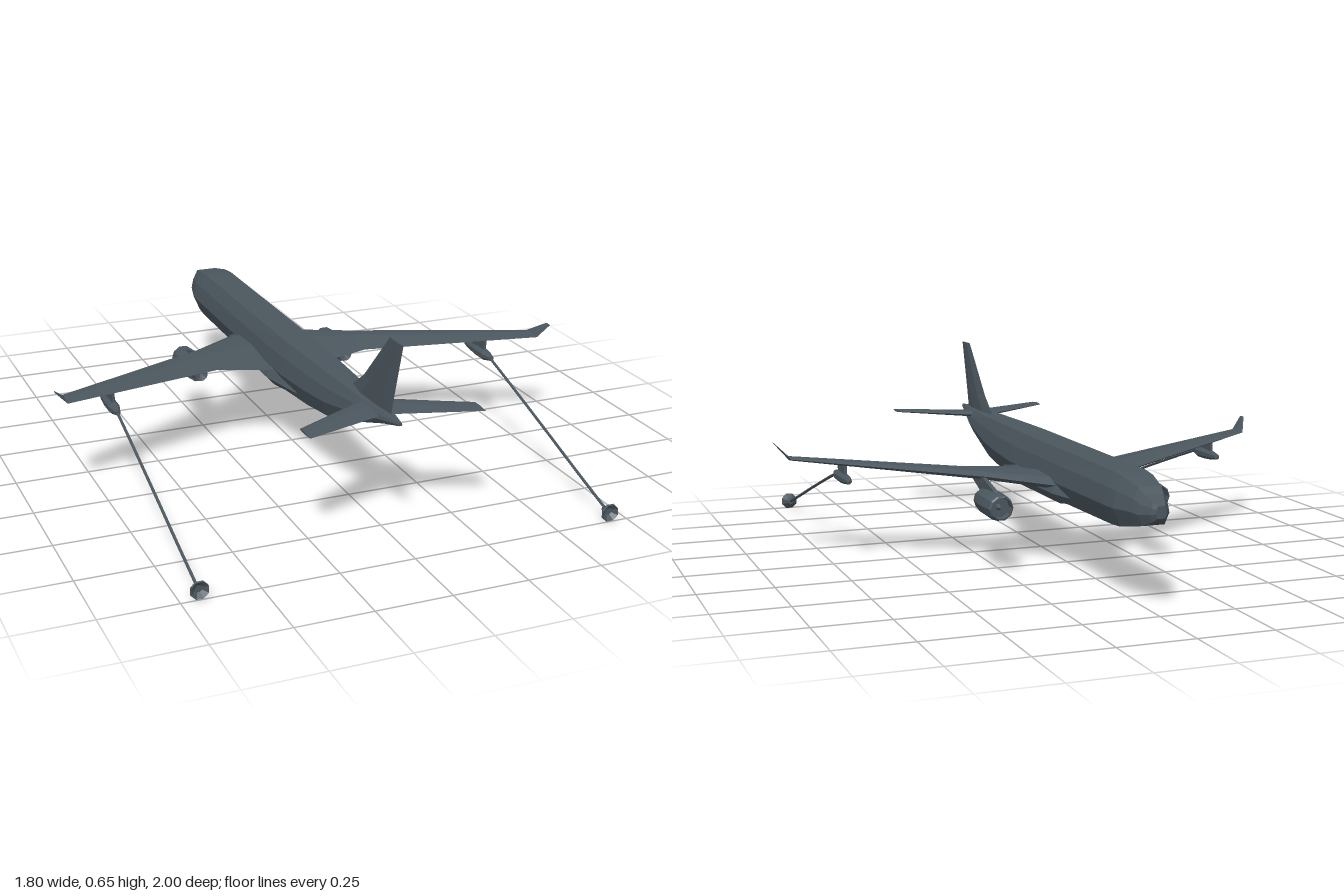
import * as THREE from 'three';

const paint = new THREE.MeshStandardMaterial({ color: 0x4b565e, flatShading: true });
const openPaint = new THREE.MeshStandardMaterial({ color: 0x4b565e, flatShading: true, side: THREE.DoubleSide });

function mesh(name, geometry, material = paint) {
  const m = new THREE.Mesh(geometry, material);
  m.name = name;
  return m;
}

// Closed solid through a list of equal-length rings, capped at both ends, always facing outward
function loft(rings) {
  const n = rings[0].length, tris = [];
  for (let r = 0; r < rings.length - 1; r++) {
    for (let i = 0; i < n; i++) {
      const j = (i + 1) % n, a = rings[r], b = rings[r + 1];
      tris.push([a[i], a[j], b[j]], [a[i], b[j], b[i]]);
    }
  }
  const first = rings[0], last = rings[rings.length - 1];
  for (let i = 1; i < n - 1; i++) {
    tris.push([first[0], first[i + 1], first[i]], [last[0], last[i], last[i + 1]]);
  }
  let volume = 0;
  for (const [a, b, c] of tris) {
    volume += new THREE.Vector3(...a).dot(new THREE.Vector3(...b).cross(new THREE.Vector3(...c)));
  }
  if (volume < 0) tris.forEach(t => t.reverse());
  const g = new THREE.BufferGeometry();
  g.setAttribute('position', new THREE.Float32BufferAttribute(tris.flat(2), 3));
  g.computeVertexNormals();
  return g;
}

// Eight-sided body section, flat on top and bottom
function bodyRing([z, w, bottom, top]) {
  const h = top - bottom;
  const half = [[0.6, 1], [0.87, 0.72], [1, 0.38], [0.7, 0]];
  const right = half.map(([a, b]) => [a * w, bottom + b * h, z]);
  return [...right, ...right.map(([x, y, zz]) => [-x, y, zz]).reverse()];
}

// Six-point aerofoil section at span x: leading z, trailing z, mid height, thickness
function foilRing([x, lead, trail, y, t], side) {
  const at = (f, h) => [x * side, y + h * t, lead + f * (trail - lead)];
  return [at(0, 0), at(0.15, 0.4), at(0.45, 0.5), at(1, 0), at(0.45, -0.5), at(0.15, -0.4)];
}

// Fin section at height y
function finRing([y, lead, trail, t]) {
  const at = (f, h) => [h * t, y, lead + f * (trail - lead)];
  return [at(0, 0), at(0.3, 0.5), at(0.7, 0.4), at(1, 0), at(0.7, -0.4), at(0.3, -0.5)];
}

// Lathe whose axis runs along z; points are [radius, z]
function turned(points, sides) {
  const g = new THREE.LatheGeometry(points.map(([r, z]) => new THREE.Vector2(r, z)), sides, Math.PI / sides);
  return g.rotateX(Math.PI / 2);
}

function buildEngine(side) {
  const engine = new THREE.Group();
  engine.name = 'engine';
  // Nacelle with a recessed intake, stepping down to the exhaust nozzle
  const nacelle = mesh('nacelle', turned([
    [0, -0.35], [0.035, -0.35], [0.037, -0.38], [0.042, -0.375], [0.047, -0.33],
    [0.046, -0.27], [0.038, -0.205], [0.03, -0.205], [0.025, -0.17], [0, -0.18],
  ], 10), openPaint);
  nacelle.position.set(0.28 * side, 0.237, 0);
  const spinner = mesh('spinner', turned([[0, -0.372], [0.012, -0.348]], 8), openPaint);
  spinner.position.copy(nacelle.position);
  // Pylon leaning back up into the wing
  const x = 0.28 * side, w = 0.007;
  const slab = (y, z0, z1) => [[x - w, y, z0], [x + w, y, z0], [x + w, y, z1], [x - w, y, z1]];
  const pylon = mesh('enginePylon', loft([slab(0.26, -0.34, -0.19), slab(0.284, -0.32, -0.12), slab(0.312, -0.2, -0.06)]));
  engine.add(nacelle, spinner, pylon);
  return engine;
}

function buildRefuelling(side) {
  const unit = new THREE.Group();
  unit.name = 'refuellingUnit';
  const x = 0.69 * side;
  const pod = mesh('hosePod', turned([
    [0, 0], [0.01, 0.002], [0.016, 0.04], [0.02, 0.09], [0.02, 0.145], [0.009, 0.19], [0, 0.19],
  ], 8), openPaint);
  pod.position.set(x, 0.287, 0);
  const strut = mesh('podPylon', new THREE.BoxGeometry(0.01, 0.04, 0.09));
  strut.position.set(x, 0.32, 0.095);
  // Trailing hose with a gentle curve
  const path = new THREE.CatmullRomCurve3(
    [[0.286, 0.18], [0.25, 0.3], [0.153, 0.61], [0.095, 0.79], [0.038, 0.975]].map(([y, z]) => new THREE.Vector3(x, y, z)));
  const hose = mesh('hose', new THREE.TubeGeometry(path, 12, 0.005, 6));
  const drogue = mesh('drogue', turned([
    [0, 0.96], [0.009, 0.96], [0.016, 0.975], [0.031, 0.993], [0.029, 1], [0.012, 0.985], [0, 0.985],
  ], 8), openPaint);
  drogue.position.set(x, 0.037, 0);
  unit.add(pod, strut, hose, drogue);
  return unit;
}

export function createModel() {
  const model = new THREE.Group();
  model.name = 'tankerAircraft';

  // Fuselage stations: z, half width, bottom, top
  model.add(mesh('fuselage', loft([
    [-1, 0.018, 0.305, 0.343], [-0.985, 0.03, 0.293, 0.352], [-0.945, 0.052, 0.275, 0.368],
    [-0.915, 0.062, 0.268, 0.388], [-0.83, 0.083, 0.252, 0.405], [-0.77, 0.086, 0.248, 0.411],
    [-0.35, 0.086, 0.24, 0.411], [0.1, 0.085, 0.24, 0.411], [0.27, 0.076, 0.25, 0.411],
    [0.43, 0.066, 0.268, 0.41], [0.65, 0.05, 0.33, 0.41], [0.79, 0.025, 0.375, 0.41],
    [0.875, 0.006, 0.396, 0.406],
  ].map(bodyRing))));

  // Belly fairing under the wing roots
  model.add(mesh('bellyFairing', loft([
    [-0.46, 0.07, 0.25, 0.3], [-0.36, 0.098, 0.236, 0.328], [0.02, 0.104, 0.236, 0.325], [0.2, 0.07, 0.252, 0.3],
  ].map(bodyRing))));

  // Vertical fin with a swept fillet at its foot
  model.add(mesh('fin', loft([
    [0.385, 0.5, 0.805, 0.028], [0.412, 0.525, 0.81, 0.026], [0.47, 0.607, 0.826, 0.022], [0.655, 0.79, 0.882, 0.01],
  ].map(finRing))));

  for (const side of [1, -1]) {
    const foil = rows => loft(rows.map(r => foilRing(r, side)));
    model.add(mesh('wing', foil([
      [0.05, -0.395, 0.04, 0.296, 0.05], [0.1, -0.358, 0.028, 0.299, 0.045],
      [0.28, -0.215, 0.002, 0.314, 0.034], [0.86, 0.128, 0.21, 0.352, 0.012],
    ])));
    model.add(mesh('winglet', foil([[0.86, 0.128, 0.21, 0.352, 0.012], [0.901, 0.2, 0.228, 0.398, 0.003]])));
    model.add(mesh('tailplane', foil([[0.01, 0.63, 0.77, 0.394, 0.024], [0.05, 0.65, 0.785, 0.395, 0.022], [0.294, 0.79, 0.872, 0.4, 0.008]])));
    model.add(buildEngine(side), buildRefuelling(side));
  }
  return model;
}
